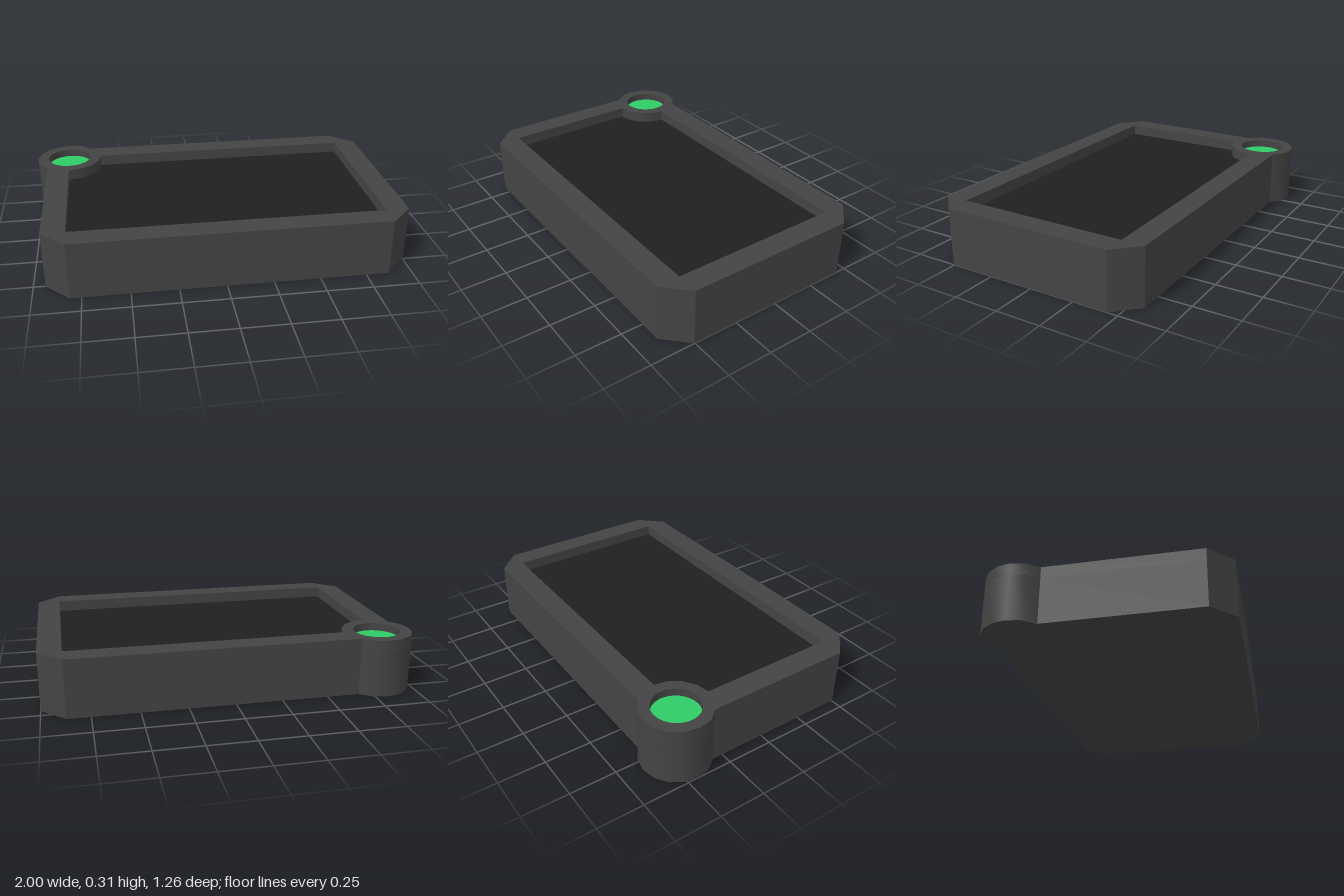
import * as THREE from 'three';
import { toCreasedNormals } from 'three/addons/utils/BufferGeometryUtils.js';

const H = 0.315, FLOOR = 0.252, LENS = 0.273;    // heights: rim, tray floor, button
const CX = -0.811, CZ = -0.444, R = 0.189, HOLE = 0.126, STEP = Math.PI / 8;
const X0 = -0.937, X1 = 1, Z0 = -0.57, Z1 = 0.63, C = 0.126; // outer rectangle and chamfer

const point = (x, z) => new THREE.Vector2(x, z);
const arc = (from, to) => {
  const pts = [];
  for (let k = from; k <= to; k++) {
    pts.push(point(CX + R * Math.cos(k * STEP), CZ + R * Math.sin(k * STEP)));
  }
  return pts;
};

// Extrudes a plan drawn in x and z, from its top height downwards
function slab(shape, top, depth) {
  const g = new THREE.ExtrudeGeometry(shape, { depth, bevelEnabled: false, curveSegments: 20 });
  g.rotateX(Math.PI / 2).translate(0, top, 0);
  return toCreasedNormals(g, 0.5);
}

export function createModel() {
  const group = new THREE.Group();
  const shell = new THREE.MeshStandardMaterial({ color: 0x444444 });
  const dark = new THREE.MeshStandardMaterial({ color: 0x202020 });
  const green = new THREE.MeshStandardMaterial({ color: 0x2ecc66 });
  const add = (name, geometry, material) => {
    const mesh = new THREE.Mesh(geometry, material);
    mesh.name = name;
    group.add(mesh);
    return mesh;
  };

  // Chamfered rectangle with the round corner tower, counterclockwise so holes face inwards
  const outline = () => new THREE.Shape([
    point(X0, CZ + 0.135), ...arc(7, 13), point(CX + 0.135, Z0),
    point(X1 - C, Z0), point(X1, Z0 + C), point(X1, Z1 - C),
    point(X1 - C, Z1), point(X0 + C, Z1), point(X0, Z1 - C),
  ]);

  // Tray opening, cut in at one corner by the tower
  const opening = [
    ...arc(0, 4), point(CX, Z1 - C), point(X1 - C, Z1 - C), point(X1 - C, CZ),
  ];

  add('base', slab(outline(), FLOOR, FLOOR), shell);

  const rim = outline();
  rim.holes.push(new THREE.Path(opening));
  rim.holes.push(new THREE.Path().absarc(CX, CZ, HOLE, 0, Math.PI * 2, true));
  add('rim', slab(rim, H, H - FLOOR), shell);

  // Dark floor panel, let into the base
  add('trayFloor', slab(new THREE.Shape(opening), FLOOR + 0.002, 0.02), dark);

  // Button sunk in the tower
  const button = add('button', new THREE.CylinderGeometry(HOLE, HOLE, LENS - FLOOR, 40), green);
  button.position.set(CX, (LENS + FLOOR) / 2, CZ);

  return group;
}
